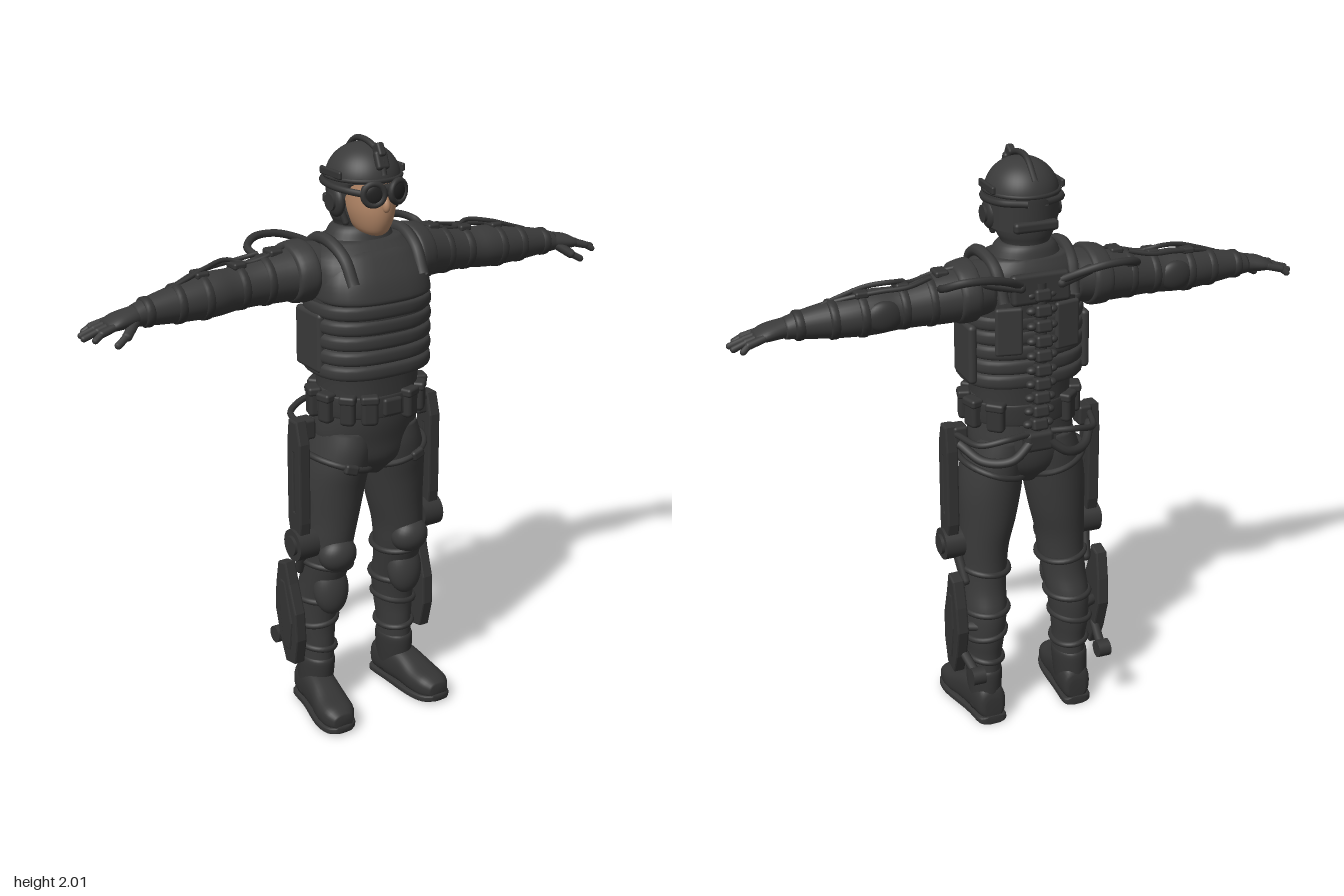
import * as THREE from 'three';
import { mergeVertices } from 'three/addons/utils/BufferGeometryUtils.js';
import { RoundedBoxGeometry } from 'three/addons/geometries/RoundedBoxGeometry.js';

const material = (name, color, side = THREE.DoubleSide) => {
  const m = new THREE.MeshStandardMaterial({ color, side });
  m.name = name;
  return m;
};
const suit = material('charcoal fabric', 0x3a3a3a);
const gear = material('dark gear', 0x343434);
const skin = material('skin', 0xb58868, THREE.FrontSide);
const glass = material('black lens', 0x222222);

export function createModel() {
  const model = new THREE.Group();
  model.name = 'armouredSoldier';
  const V = (p) => new THREE.Vector3(...p);

  const mesh = (name, geo, mat, pos = [0, 0, 0], rot = [0, 0, 0], scale = [1, 1, 1]) => {
    const m = new THREE.Mesh(geo, mat);
    m.name = name;
    m.position.set(...pos);
    m.rotation.set(...rot);
    m.scale.set(...scale);
    return m;
  };
  const add = (m) => { model.add(m); return m; };

  // Adds a part on the model's left (+x) and its mirrored copy on the right
  const pair = (m) => {
    m.updateMatrix();
    let g = m.geometry.clone().applyMatrix4(m.matrix).scale(-1, 1, 1);
    if (!g.index) g = mergeVertices(g);
    const ix = g.index.array;
    for (let i = 0; i < ix.length; i += 3) [ix[i + 1], ix[i + 2]] = [ix[i + 2], ix[i + 1]];
    const copy = mesh('right' + m.name, g, m.material);
    m.name = 'left' + m.name;
    model.add(m, copy);
  };

  // Smooth loft through superelliptic sections [u, ca, cb, ra, rb]
  // axis y: a = x, b = z;  axis x: a = z, b = y;  axis z: a = y, b = x
  function loft(axis, rows, power = 2, n = 32, steps = 4) {
    const at = (i) => rows[Math.max(0, Math.min(rows.length - 1, i))];
    const rings = [];
    for (let i = 0; i < rows.length - 1; i++) {
      for (let s = 0; s < steps + (i === rows.length - 2 ? 1 : 0); s++) {
        const t = s / steps;
        rings.push(at(i).map((p, k) => {
          const a = at(i - 1)[k], b = at(i + 1)[k], c = at(i + 2)[k];
          return 0.5 * (2 * p + (b - a) * t + (2 * a - 5 * p + 4 * b - c) * t * t + (3 * p - a - 3 * b + c) * t ** 3);
        }));
      }
    }
    const pos = [], idx = [];
    const put = (a, u, b) => pos.push(...(axis === 'y' ? [a, u, b] : axis === 'x' ? [u, b, a] : [b, a, u]));
    const pw = (v) => Math.sign(v) * Math.abs(v) ** (2 / power);
    rings.forEach(([u, ca, cb, ra, rb], i) => {
      for (let j = 0; j < n; j++) {
        const w = (j / n) * Math.PI * 2;
        put(ca + ra * pw(Math.cos(w)), u, cb + rb * pw(Math.sin(w)));
        if (i) {
          const a = (i - 1) * n + j, b = (i - 1) * n + ((j + 1) % n);
          idx.push(a, a + n, b, b, a + n, b + n);
        }
      }
    });
    const last = (rings.length - 1) * n, end = rings[rings.length - 1];
    put(rings[0][1], rings[0][0], rings[0][2]);
    put(end[1], end[0], end[2]);
    for (let j = 0; j < n; j++) {
      const k = (j + 1) % n;
      idx.push(last + n, j, k, last + n + 1, last + k, last + j);
    }
    const g = new THREE.BufferGeometry();
    g.setAttribute('position', new THREE.Float32BufferAttribute(pos, 3));
    g.setIndex(idx);
    g.computeVertexNormals();
    return g;
  }

  const hose = (pts, r, closed = false) =>
    new THREE.TubeGeometry(new THREE.CatmullRomCurve3(pts.map(V), closed), 40, r, 8, closed);
  // Closed strap around an upright limb, tilted by dy across x
  const strap = (cx, cy, cz, rx, rz, r, dy = 0) => hose(Array.from({ length: 16 }, (_, i) => {
    const w = (i / 16) * Math.PI * 2;
    return [cx + rx * Math.cos(w), cy + dy * Math.cos(w), cz + rz * Math.sin(w)];
  }), r, true);
  // Rounded rod between two points
  const rod = (name, a, b, r, mat = suit) => {
    const p = V(a), d = V(b).sub(p);
    const m = mesh(name, new THREE.CapsuleGeometry(r, d.length(), 4, 10), mat);
    m.position.copy(p).addScaledVector(d, 0.5);
    m.quaternion.setFromUnitVectors(V([0, 1, 0]), d.normalize());
    return m;
  };
  // Side plate drawn as [z, y] points, its inner face at x
  const plate = (pts, depth, hole) => {
    const s = new THREE.Shape(pts.map((p) => new THREE.Vector2(...p)));
    if (hole) s.holes.push(new THREE.Path(hole.map((p) => new THREE.Vector2(...p))));
    return new THREE.ExtrudeGeometry(s, { depth, bevelSize: 0.006, bevelThickness: 0.006, bevelSegments: 2 }).rotateY(-Math.PI / 2);
  };
  const box = (w, h, d, r = 0.01) => new RoundedBoxGeometry(w, h, d, 3, r);
  const ball = new THREE.SphereGeometry(1, 28, 18);
  const disc = (r, h) => new THREE.CylinderGeometry(r, r, h, 28).rotateZ(Math.PI / 2);

  // Head, hood and neck
  add(mesh('face', loft('y', [[1.705, 0, .085, .025, .03], [1.72, 0, .065, .05, .066], [1.76, 0, .05, .07, .095],
    [1.81, 0, .04, .082, .106], [1.9, 0, .02, .09, .11]]), skin));
  add(mesh('nose', ball, skin, [0, 1.81, .143], [-.3, 0, 0], [.014, .026, .018]));
  add(mesh('hood', loft('y', [[1.66, 0, -.02, .08, .07], [1.72, 0, -.02, .078, .07], [1.77, 0, -.015, .098, .085], [1.9, 0, -.01, .105, .09]]), suit));
  add(mesh('collar', loft('y', [[1.62, 0, -.005, .15, .12], [1.67, 0, -.012, .122, .1], [1.71, 0, -.014, .102, .088], [1.725, 0, -.014, .085, .075]]), suit));

  // Helmet shell: a dome whose rim drops from the brow to the nape
  const shell = new THREE.SphereGeometry(1, 48, 28, 0, Math.PI * 2, 0, Math.PI / 2);
  const sp = shell.attributes.position;
  for (let i = 0; i < sp.count; i++) {
    const v = Math.floor(i / 49) / 28, w = ((i % 49) / 48) * Math.PI * 2;
    const dome = Math.min(1, v / .7) * Math.PI / 2, drop = Math.max(0, (v - .7) / .3);
    const front = Math.sin(w), low = .105 * (1 - THREE.MathUtils.smoothstep(front, .15, .7));
    const r = Math.sin(dome) * (1 - .05 * drop);
    sp.setXYZ(i, .118 * r * Math.cos(w), 1.875 + .11 * Math.cos(dome) - drop * low, .012 + .126 * r * front);
  }
  shell.computeVertexNormals();
  add(mesh('helmet', shell, suit));
  add(mesh('helmetBrowBand', strap(0, 1.885, .012, .119, .127, .007), gear));
  add(mesh('helmetCrest', hose([[0, 1.9, .135], [0, 1.955, .115], [0, 1.99, .05], [0, 1.99, -.03], [0, 1.93, -.1]], .01), gear));
  add(mesh('helmetMount', box(.045, .06, .025), gear, [0, 1.945, .118], [-.4, 0, 0]));
  add(mesh('mountArm', box(.026, .045, .04, .008), gear, [0, 1.973, .105], [-.5, 0, 0]));
  add(mesh('napePad', box(.15, .035, .03, .012), gear, [0, 1.79, -.105]));
  pair(mesh('HelmetRail', box(.014, .026, .12, .006), gear, [.117, 1.9, .01]));
  pair(mesh('EarCup', ball, gear, [.106, 1.81, .02], [0, 0, 0], [.022, .05, .045]));
  pair(mesh('EarCupCap', disc(.028, .012), gear, [.125, 1.81, .02]));
  pair(rod('ChinStrap', [.1, 1.8, .03], [.085, 1.745, .045], .011, gear));

  // Goggles
  add(mesh('goggleBridge', box(.14, .04, .05, .015), gear, [0, 1.853, .125]));
  pair(mesh('GoggleRim', new THREE.TorusGeometry(.034, .01, 10, 28), gear, [.045, 1.848, .146], [0, .3, 0]));
  pair(mesh('GoggleLens', ball, glass, [.045, 1.848, .143], [0, .3, 0], [.034, .034, .014]));
  pair(mesh('GoggleStrap', hose([[.075, 1.85, .13], [.105, 1.855, .08], [.12, 1.86, .01], [.1, 1.865, -.07], [.03, 1.865, -.115]], .011), gear));

  // Torso and vest
  add(mesh('torso', loft('y', [[1.18, 0, .035, .165, .14], [1.25, 0, .035, .17, .145], [1.35, 0, .035, .19, .155], [1.5, 0, .033, .2, .162],
    [1.58, 0, .02, .2, .155], [1.64, 0, .005, .185, .135], [1.685, 0, -.01, .13, .1]], 2.4), suit));
  for (let i = 0; i < 5; i++) {
    const y = 1.28 + i * .05;
    add(mesh('vestRib' + (i + 1), loft('y', [[y - .026, 0, .035, .19, .15], [y - .016, 0, .036, .207, .165], [y + .016, 0, .036, .207, .166], [y + .026, 0, .035, .19, .15]], 2.5), suit));
  }
  add(mesh('chestPlate', loft('y', [[1.505, 0, .05, .192, .145], [1.52, 0, .05, .2, .152], [1.58, 0, .045, .19, .138], [1.64, 0, .035, .155, .108], [1.66, 0, .03, .13, .09]], 2.6), suit));
  pair(mesh('ShoulderStrap', hose([[.13, 1.57, .165], [.135, 1.65, .115], [.14, 1.69, .02], [.13, 1.66, -.09], [.12, 1.56, -.135]], .02), suit));
  pair(mesh('SidePanel', box(.03, .2, .15, .014), suit, [.197, 1.37, .01]));

  // Belt, pouches and pelvis
  add(mesh('pelvis', loft('y', [[.89, 0, .02, .045, .08], [.95, 0, .02, .14, .125], [1.02, 0, .02, .18, .138], [1.1, 0, .03, .18, .142], [1.2, 0, .035, .167, .138]]), suit));
  add(mesh('belt', loft('y', [[1.12, 0, .035, .18, .148], [1.125, 0, .035, .186, .153], [1.185, 0, .035, .184, .151], [1.19, 0, .035, .176, .145]]), gear));
  add(mesh('buckle', box(.07, .06, .02), gear, [0, 1.155, .19]));
  for (const [a, w] of [[.42, .055], [.82, .05], [1.3, .05], [1.85, .06], [2.4, .06]]) {
    pair(mesh('Pouch', box(w, .1, .04, .014), gear, [.188 * Math.sin(a), 1.15, .035 + .152 * Math.cos(a)], [0, a, 0]));
    pair(mesh('PouchFlap', box(w + .006, .03, .046), gear, [.188 * Math.sin(a), 1.187, .035 + .152 * Math.cos(a)], [0, a, 0]));
  }

  // Arms
  pair(mesh('Arm', loft('x', [[.14, -.03, 1.59, .1, .085], [.22, -.04, 1.585, .105, .088], [.3, -.045, 1.578, .09, .083], [.38, -.045, 1.57, .076, .073],
    [.45, -.042, 1.563, .07, .068], [.52, -.038, 1.56, .075, .071], [.6, -.035, 1.555, .069, .065], [.68, -.03, 1.55, .056, .055], [.76, -.025, 1.545, .044, .042], [.8, -.022, 1.54, .04, .033]]), suit));
  pair(mesh('ShoulderCuff', loft('x', [[.19, -.035, 1.588, .1, .085], [.2, -.035, 1.588, .118, .1], [.25, -.04, 1.585, .112, .096], [.262, -.04, 1.585, .095, .08]]), suit));
  for (const [x, z, y, a, b] of [[.34, -.045, 1.574, .085, .081], [.43, -.043, 1.566, .075, .072], [.56, -.037, 1.557, .077, .072], [.65, -.032, 1.552, .065, .063], [.755, -.025, 1.545, .05, .047]]) {
    pair(mesh('ArmBand', loft('x', [[x - .016, z, y, a - .008, b - .008], [x - .01, z, y, a, b], [x + .01, z, y, a, b], [x + .016, z, y, a - .008, b - .008]], 2, 28, 2), gear));
  }
  pair(mesh('ElbowPad', ball, gear, [.5, 1.56, -.095], [0, 0, 0], [.06, .05, .026]));

  // Gloves
  pair(mesh('Palm', loft('x', [[.77, -.022, 1.542, .034, .034], [.81, -.02, 1.54, .042, .03], [.86, -.02, 1.533, .05, .025], [.895, -.02, 1.525, .042, .014]]), suit));
  [[.945, -.072], [.967, -.04], [.972, -.008], [.95, .026]].forEach(([x, z], i) => {
    const z0 = -.058 + i * .024;
    pair(rod('FingerBase', [.87, 1.53, z0], [.92, 1.517, (z0 + z) / 2], .0125));
    pair(rod('FingerTip', [.92, 1.517, (z0 + z) / 2], [x - .005, 1.502, z], .0105));
  });
  pair(rod('ThumbBase', [.805, 1.53, .005], [.845, 1.5, .033], .016));
  pair(rod('ThumbTip', [.845, 1.5, .033], [.88, 1.48, .043], .012));

  // Legs, knee pads and straps
  pair(mesh('Leg', loft('y', [[.14, .163, -.035, .054, .072], [.25, .16, -.035, .057, .074], [.32, .16, -.04, .065, .078], [.42, .155, -.035, .072, .085], [.5, .15, -.01, .075, .085],
    [.58, .145, .008, .08, .094], [.66, .14, .012, .085, .1], [.75, .128, .01, .095, .108], [.85, .118, .012, .105, .117], [.93, .108, .018, .106, .127], [1, .095, .02, .1, .132], [1.06, .085, .02, .09, .125]]), suit));
  pair(mesh('KneePad', ball, suit, [.145, .62, .082], [.15, 0, 0], [.068, .062, .056]));
  pair(mesh('ShinPad', ball, suit, [.15, .48, .045], [-.15, 0, 0], [.064, .095, .05]));
  for (const [cx, y, cz, rx, rz, dy] of [[.108, .94, .018, .106, .128, .035], [.143, .57, .005, .081, .095, .01], [.153, .43, -.032, .074, .087, 0], [.16, .34, -.04, .068, .08, -.01], [.16, .24, -.035, .058, .075, .006]]) {
    pair(mesh('LegStrap', strap(cx, y, cz, rx, rz, .011, dy), gear));
  }
  pair(mesh('StrapBuckle', box(.05, .035, .025), gear, [.13, .945, .148], [0, .15, .3]));

  // Boots
  pair(mesh('BootShaft', loft('y', [[.04, .168, -.045, .052, .07], [.1, .165, -.04, .056, .078], [.18, .163, -.035, .06, .08], [.2, .163, -.035, .054, .072]]), gear));
  pair(mesh('BootFoot', loft('z', [[-.122, .06, .16, .035, .03], [-.105, .075, .162, .062, .05], [-.03, .08, .168, .07, .056], [.04, .073, .178, .062, .058], [.11, .058, .188, .048, .064], [.17, .052, .194, .041, .058], [.205, .046, .197, .025, .035]], 2.6), gear));
  pair(mesh('BootSole', loft('z', [[-.128, .015, .16, .015, .03], [-.11, .015, .162, .015, .052], [-.02, .015, .17, .015, .056], [.11, .015, .188, .015, .068], [.18, .017, .195, .015, .058], [.212, .022, .198, .012, .03]], 4), gear));

  // Exoskeleton: thigh strut, knee joint and calf shell
  pair(mesh('ThighStrut', plate([[.05, .67], [.06, .75], [.06, 1.03], [.04, 1.1], [0, 1.1], [-.01, 1.02], [-.01, .75], [.01, .67]], .03,
    [[.034, .78], [.016, .78], [.016, 1], [.034, 1]]), gear, [.272, 0, 0]));
  pair(rod('ThighPiston', [.25, .74, .025], [.25, 1.06, .025], .013, gear));
  pair(mesh('HipMount', box(.05, .07, .06), gear, [.225, 1.07, .015]));
  pair(mesh('KneeJoint', disc(.055, .075), gear, [.25, .665, .028]));
  pair(mesh('KneeJointCap', disc(.034, .012), gear, [.292, .665, .028]));
  pair(rod('KneeLink', [.24, .65, .02], [.225, .54, -.03], .018, gear));
  pair(mesh('CalfShell', plate([[.01, .21], [.03, .3], [.025, .4], [-.01, .5], [-.03, .57], [-.07, .56], [-.09, .47], [-.1, .38], [-.07, .27], [-.04, .2]], .03), gear, [.27, 0, 0], [0, 0, -.02]));
  pair(mesh('CalfRidge', plate([[-.01, .26], [.005, .36], [-.035, .5], [-.055, .5], [-.06, .38], [-.035, .26]], .008), gear, [.283, 0, 0]));
  pair(rod('CalfBracket', [.245, .38, -.06], [.18, .38, -.09], .018, gear));
  pair(rod('HeelArm', [.25, .28, -.06], [.235, .235, -.155], .016, gear));
  pair(mesh('HeelJoint', disc(.03, .045), gear, [.235, .235, -.16]));

  // Exoskeleton: spine, back plate and hip frame
  for (let i = 0; i < 11; i++) {
    const y = 1.08 + i * .05, z = -.125 - .04 * Math.sin((i / 10) * Math.PI * .75);
    add(mesh('spineLink' + (i + 1), box(.055, .04, .045), gear, [0, y, z], [.2, 0, 0]));
    pair(mesh('SpineLug', ball, gear, [.035, y, z + .005], [0, 0, 0], [.018, .013, .016]));
  }
  add(mesh('spineCore', hose([[0, 1.04, -.115], [0, 1.2, -.13], [0, 1.4, -.15], [0, 1.62, -.145]], .02), gear));
  add(mesh('backPlate', box(.2, .1, .035, .014), gear, [0, 1.6, -.14], [.12, 0, 0]));
  pair(rod('BackArm', [.07, 1.61, -.15], [.18, 1.63, -.12], .017, gear));
  pair(mesh('BackPad', box(.09, .16, .02), suit, [.1, 1.46, -.125], [0, -.2, 0]));
  add(mesh('hipHub', box(.1, .07, .05, .016), gear, [0, 1.07, -.13]));
  pair(mesh('HipFrame', hose([[.03, 1.07, -.14], [.1, 1.02, -.15], [.18, 1.01, -.1], [.235, 1.05, -.02]], .016), gear));
  pair(mesh('HipHose', hose([[.04, 1.1, -.14], [.12, 1.1, -.155], [.2, 1.08, -.12], [.24, 1.08, -.01]], .011), gear));

  // Hoses and cables to the arms
  pair(mesh('ShoulderHose', hose([[.07, 1.62, -.15], [.13, 1.65, -.185], [.2, 1.67, -.205], [.28, 1.67, -.2], [.325, 1.65, -.165], [.32, 1.63, -.11]], .013), gear));
  pair(mesh('ArmCable', hose([[.25, 1.67, -.05], [.32, 1.655, -.03], [.4, 1.64, -.04], [.46, 1.655, -.06], [.54, 1.645, -.04], [.62, 1.62, -.03], [.68, 1.6, -.03]], .008), gear));
  pair(mesh('ArmCableLoop', hose([[.34, 1.655, -.07], [.42, 1.64, -.085], [.5, 1.635, -.075], [.58, 1.625, -.06], [.64, 1.61, -.04]], .008), gear));
  for (const [x, y] of [[.3, 1.66], [.43, 1.638], [.56, 1.628]]) {
    pair(mesh('CableClip', box(.045, .022, .06, .008), gear, [x, y, -.045]));
  }
  return model;
}
